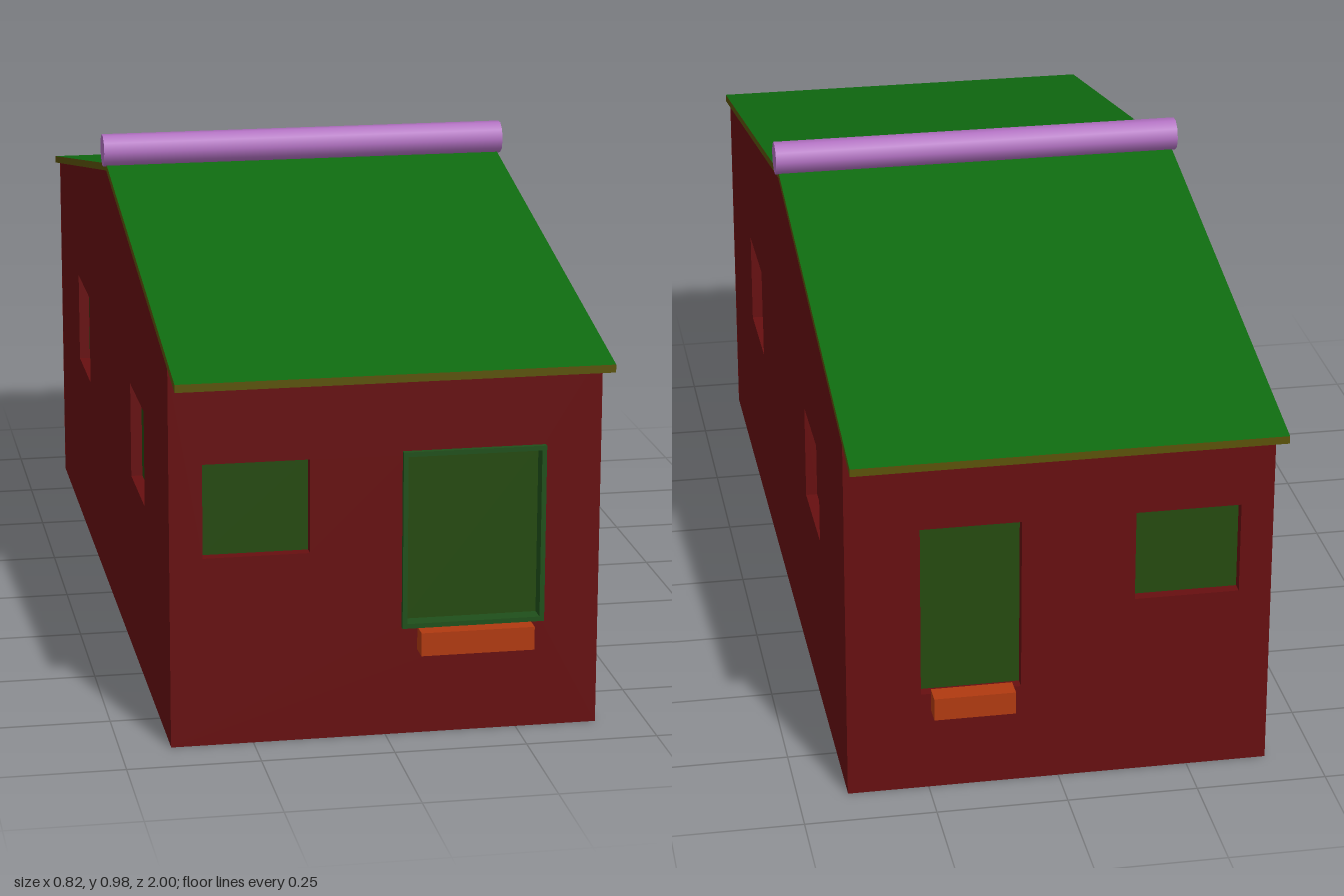
import * as THREE from 'three';

const HALF_X = 0.405, HALF_Z = 0.905;      // wall footprint
const RIDGE = 0.903, SLOPE = 0.193;        // underside of the roof
const EAVE = RIDGE - SLOPE * HALF_Z;
const DEPTH = 0.022;                       // depth of the window recesses

const paint = (color) => new THREE.MeshStandardMaterial({ color, side: THREE.DoubleSide });
const wallMat = paint(0x660f10);
const roofMat = paint(0x0f6a10);
const edgeMat = paint(0x5a5208);
const paneMat = paint(0x24490f);
const frameMat = paint(0x1f4f1a);
const sillMat = paint(0xb03a10);
const ridgeMat = paint(0xb070c0);

function add(parent, name, geometry, material, x = 0, y = 0, z = 0) {
  const mesh = new THREE.Mesh(geometry, material);
  mesh.name = name;
  mesh.position.set(x, y, z);
  parent.add(mesh);
  return mesh;
}

// Box shell without the listed faces (0..5 = +x, -x, +y, -y, +z, -z)
function openBox(w, h, d, skip) {
  const box = new THREE.BoxGeometry(w, h, d);
  const index = Array.from(box.index.array).filter((_, i) => !skip.includes(Math.floor(i / 6)));
  box.setIndex(index);
  box.clearGroups();
  return box;
}

function rectPath(Type, [x0, x1, y0, y1]) {
  return new Type([[x0, y0], [x1, y0], [x1, y1], [x0, y1]].map(([x, y]) => new THREE.Vector2(x, y)));
}

// Recessed opening: four reveals and a pane set back from the wall
function addOpening(parent, name, [x0, x1, y0, y1], revealMat, pane) {
  const w = x1 - x0, h = y1 - y0, cx = (x0 + x1) / 2, cy = (y0 + y1) / 2;
  add(parent, name + 'Reveal', openBox(w, h, DEPTH, [4, 5]), revealMat, cx, cy, -DEPTH / 2);
  add(parent, name + 'Pane', new THREE.PlaneGeometry(w, h), pane, cx, cy, -DEPTH);
}

// Sill under a door: a shell open below and against the wall
function addSill(parent, x0, x1) {
  add(parent, 'sill', openBox(x1 - x0, 0.045, 0.04, [3, 5]), sillMat, (x0 + x1) / 2, 0.1875, 0.02);
}

// Single-sheet wall facing local +z, with its openings cut out
function addWall(parent, name, outline, openings, angle, distance) {
  const group = new THREE.Group();
  group.name = name;
  group.rotation.y = angle;
  group.position.set(Math.sin(angle) * distance, 0, Math.cos(angle) * distance);
  const shape = new THREE.Shape(outline.map(([x, y]) => new THREE.Vector2(x, y)));
  openings.forEach((o) => shape.holes.push(rectPath(THREE.Path, o)));
  add(group, name + 'Sheet', new THREE.ShapeGeometry(shape), wallMat);
  parent.add(group);
  return group;
}

export function createModel() {
  const house = new THREE.Group();
  house.name = 'house';

  const endOutline = [[-HALF_X, 0], [HALF_X, 0], [HALF_X, EAVE], [-HALF_X, EAVE]];
  const gableOutline = [[-HALF_Z, 0], [HALF_Z, 0], [HALF_Z, EAVE], [0, RIDGE], [-HALF_Z, EAVE]];

  // Front wall: small window and a framed door
  const frontWindow = [-0.343, -0.143, 0.365, 0.545];
  const frontDoor = [0.039, 0.291, 0.219, 0.543];
  const front = addWall(house, 'frontWall', endOutline, [frontWindow, frontDoor], 0, HALF_Z);
  addOpening(front, 'window', frontWindow, wallMat, paneMat);
  addOpening(front, 'door', frontDoor, frameMat, paneMat);
  const frame = rectPath(THREE.Shape, [0.03, 0.3, 0.21, 0.552]);
  frame.holes.push(rectPath(THREE.Path, frontDoor));
  add(front, 'doorFrame', new THREE.ExtrudeGeometry(frame, { depth: 0.01, bevelEnabled: false }), frameMat);
  addSill(front, 0.06, 0.275);

  // Back wall: the same window, and a narrower door without a frame
  const backWindow = [0.143, 0.343, 0.365, 0.545];
  const backDoor = [-0.264, -0.073, 0.2, 0.545];
  const back = addWall(house, 'backWall', endOutline, [backWindow, backDoor], Math.PI, HALF_Z);
  addOpening(back, 'window', backWindow, wallMat, paneMat);
  addOpening(back, 'door', backDoor, wallMat, paneMat);
  addSill(back, -0.245, -0.09);

  // Gable walls: two windows each, blind on the left side
  const sideWindows = [[-0.555, -0.35, 0.36, 0.55], [0.35, 0.555, 0.36, 0.55]];
  for (const [name, angle, pane] of [['leftWall', Math.PI / 2, wallMat], ['rightWall', -Math.PI / 2, paneMat]]) {
    const wall = addWall(house, name, gableOutline, sideWindows, angle, HALF_X - 0.0005);
    sideWindows.forEach((w) => addOpening(wall, 'window', w, wallMat, pane));
  }

  // Roof: two thin sheared slabs meeting at the ridge
  for (const side of [1, -1]) {
    const slab = new THREE.BoxGeometry(2 * HALF_X, 0.015, 1);
    slab.translate(0, RIDGE + 0.0075, side * 0.5);
    const p = slab.attributes.position;
    for (let i = 0; i < p.count; i++) p.setY(i, p.getY(i) - SLOPE * Math.abs(p.getZ(i)));
    slab.computeVertexNormals();
    add(house, side > 0 ? 'frontRoof' : 'backRoof', slab, [edgeMat, edgeMat, roofMat, roofMat, edgeMat, edgeMat]);
  }

  // Ridge log
  const log = new THREE.CylinderGeometry(0.033, 0.033, 0.824, 10);
  log.rotateZ(Math.PI / 2);
  add(house, 'ridgeLog', log, ridgeMat, 0, 0.945, 0);

  return house;
}
